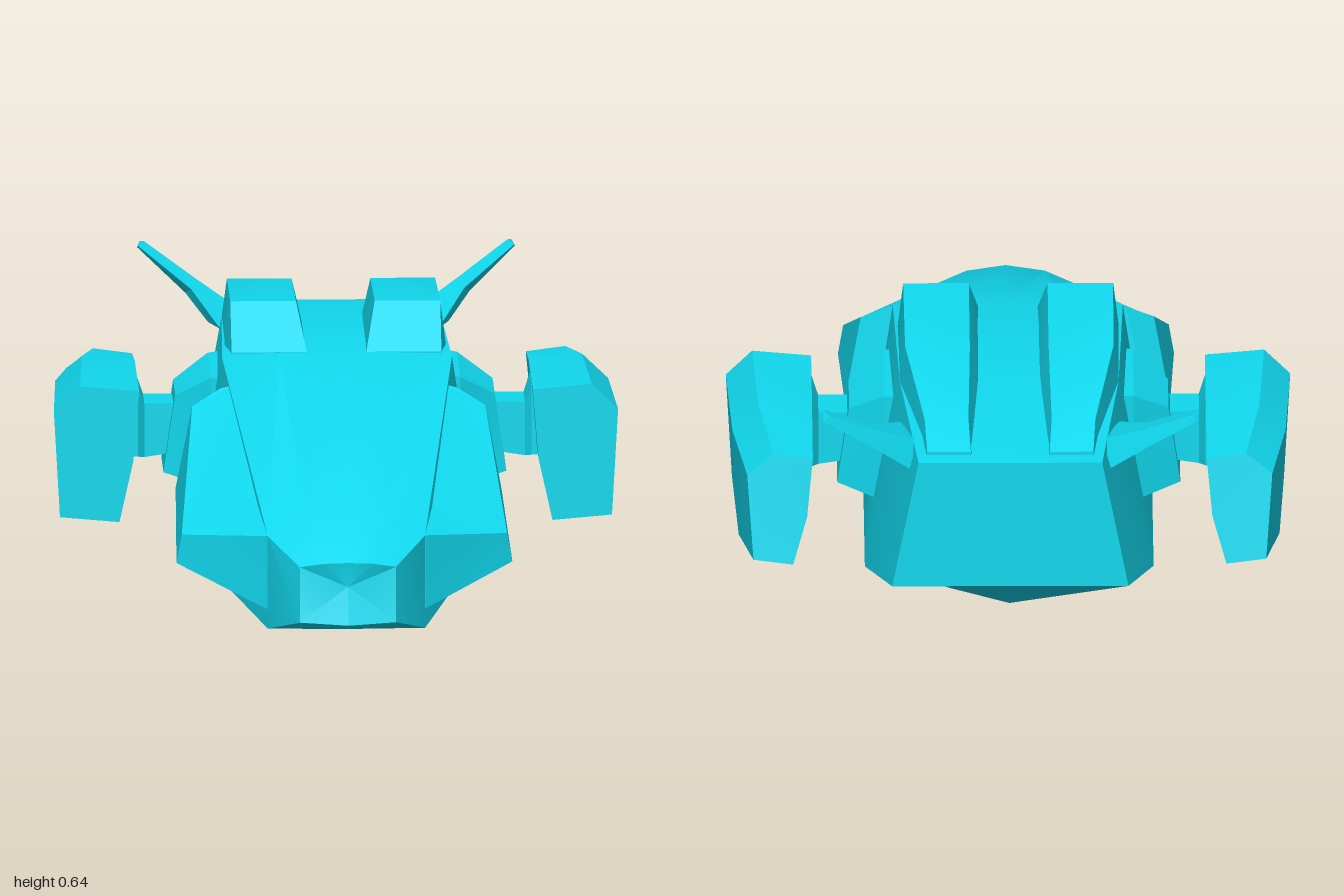
import * as THREE from 'three';
import { toCreasedNormals } from 'three/addons/utils/BufferGeometryUtils.js';

const material = new THREE.MeshStandardMaterial({ color: 0x11d8ee });

// Skins a series of equal-sized rings of [x, y, z] points and caps both ends.
function loft(name, rings, crease = 0.45) {
  const n = rings[0].length, pos = rings.flat(2), idx = [];
  for (let r = 0; r < rings.length - 1; r++) {
    for (let i = 0; i < n; i++) {
      const a = r * n + i, b = r * n + (i + 1) % n;
      idx.push(a, b, a + n, b, b + n, a + n);
    }
  }
  [0, rings.length - 1].forEach((r) => {
    const c = pos.length / 3;
    for (let k = 0; k < 3; k++) pos.push(rings[r].reduce((s, p) => s + p[k], 0) / n);
    for (let i = 0; i < n; i++) {
      const a = r * n + i, b = r * n + (i + 1) % n;
      idx.push(...(r === 0 ? [c, b, a] : [c, a, b]));
    }
  });
  // Turn the faces outward if the enclosed volume comes out negative
  const v = (i) => new THREE.Vector3().fromArray(pos, i * 3);
  let volume = 0;
  for (let i = 0; i < idx.length; i += 3) {
    volume += v(idx[i]).dot(v(idx[i + 1]).cross(v(idx[i + 2])));
  }
  if (volume < 0) idx.reverse();
  const geo = new THREE.BufferGeometry();
  geo.setAttribute('position', new THREE.Float32BufferAttribute(pos, 3));
  geo.setIndex(idx);
  const mesh = new THREE.Mesh(toCreasedNormals(geo, crease), material);
  mesh.name = name;
  return mesh;
}

// Symmetric hull ring made from its left half: keel, chine, shoulder, crown, ridge.
function hullRing(half) {
  const mirrored = half.slice(1, -1).reverse().map(([x, y, z]) => [-x, y, z]);
  return [...half, ...mirrored];
}

function hullStation(z, keel, [cx, cy], [sx, sy], top) {
  return hullRing([
    [0, keel, z], [cx, cy, z], [sx, sy, z],
    [sx * 0.5, sy + (top - sy) * 0.75, z], [0, top, z],
  ]);
}

// Rectangle in the y-z plane at a given x
const slab = (x, y0, y1, z0, z1) => [[x, y0, z0], [x, y1, z0], [x, y1, z1], [x, y0, z1]];

export function createModel() {
  const ship = new THREE.Group();
  ship.name = 'spaceship';

  // Main hull with a blunt rounded nose
  ship.add(loft('hull', [
    hullRing([[0, 0.11, 1], [0.11, 0.11, 0.96], [0.11, 0.235, 0.94], [0.055, 0.247, 0.962], [0, 0.25, 0.97]]),
    hullStation(0.82, 0.068, [0.18, 0.07], [0.18, 0.285], 0.34),
    hullStation(0, 0.005, [0.33, 0.095], [0.263, 0.545], 0.55),
    hullStation(-0.51, 0.005, [0.33, 0.095], [0.25, 0.545], 0.55),
    hullStation(-0.93, 0.2, [0.27, 0.2], [0.21, 0.5], 0.5),
  ]));

  for (const side of [1, -1]) {
    const label = side > 0 ? 'left' : 'right';
    const add = (name, rings, crease) => ship.add(
      loft(label + name, rings.map((ring) => ring.map(([x, y, z]) => [x * side, y, z])), crease));

    // Armoured cheek beside the nose
    add('Cheek', [
      [[0.17, 0.285, 0.82], [0.181, 0.285, 0.82], [0.181, 0.115, 0.82], [0.17, 0.115, 0.82]],
      [[0.17, 0.33, 0.65], [0.372, 0.257, 0.65], [0.384, 0.19, 0.645], [0.2, 0.15, 0.65]],
      [[0.23, 0.5, 0.14], [0.335, 0.46, 0.15], [0.372, 0.265, 0.12], [0.28, 0.23, 0.13]],
      [[0.23, 0.505, 0.12], [0.27, 0.495, 0.12], [0.33, 0.235, 0.09], [0.28, 0.23, 0.09]],
    ], 0.3);

    // Long ridge on the back
    const ridge = (z, y, inner, outer, base, spread) => [
      [inner - spread, base, z], [inner, y, z], [outer, y, z], [outer + spread * 0.6, base, z]];
    add('DorsalRidge', [
      ridge(-0.03, 0.55, 0.068, 0.24, 0.5, 0.004),
      ridge(-0.14, 0.648, 0.09, 0.24, 0.5, 0.03),
      ridge(-0.51, 0.63, 0.09, 0.238, 0.5, 0.03),
      ridge(-0.79, 0.555, 0.095, 0.195, 0.48, 0.018),
      ridge(-0.89, 0.512, 0.09, 0.19, 0.47, 0.006),
    ], 0.3);

    // Wing root pad and the strut that carries the engine
    add('StrutPad', [
      slab(0.24, 0.22, 0.48, -0.43, -0.1),
      slab(0.285, 0.22, 0.475, -0.42, -0.11),
      [[0.392, 0.245, -0.36], [0.365, 0.425, -0.36], [0.365, 0.425, -0.17], [0.392, 0.245, -0.17]],
    ], 0.2);
    add('Strut', [
      slab(0.34, 0.29, 0.4, -0.32, -0.2),
      slab(0.435, 0.275, 0.4, -0.32, -0.2),
      slab(0.45, 0.28, 0.44, -0.35, -0.18),
      slab(0.49, 0.28, 0.44, -0.35, -0.18),
    ], 0.1);

    // Engine pod tapering to a slanted rear
    const pod = (zTop, zBottom, top, edge, bottom, outer) => [
      [0.45, top - 0.012, zTop], [outer - 0.06, top, zTop], [outer, edge, zTop - (zTop - zBottom) * 0.2],
      [outer - 0.014, bottom + 0.012, zBottom], [0.495, bottom, zBottom],
      [0.463, 0.29, (zTop + zBottom) / 2]];
    add('EnginePod', [
      pod(-0.08, -0.08, 0.463, 0.405, 0.147, 0.645),
      pod(-0.45, -0.47, 0.463, 0.405, 0.147, 0.632),
      pod(-0.69, -0.735, 0.435, 0.388, 0.182, 0.6),
    ], 0.3);

    // Thin swept tail fin: leading point, outer face, trailing point, inner face
    add('TailFin', [
      [[0.25, 0.49, -0.63], [0.275, 0.485, -0.74], [0.23, 0.47, -0.885], [0.21, 0.51, -0.8]],
      [[0.312, 0.55, -0.8], [0.325, 0.535, -0.84], [0.315, 0.54, -0.935], [0.3, 0.56, -0.88]],
      [[0.43, 0.628, -0.92], [0.432, 0.622, -0.94], [0.425, 0.625, -1], [0.415, 0.63, -0.97]],
    ], 0.3);
  }
  return ship;
}
